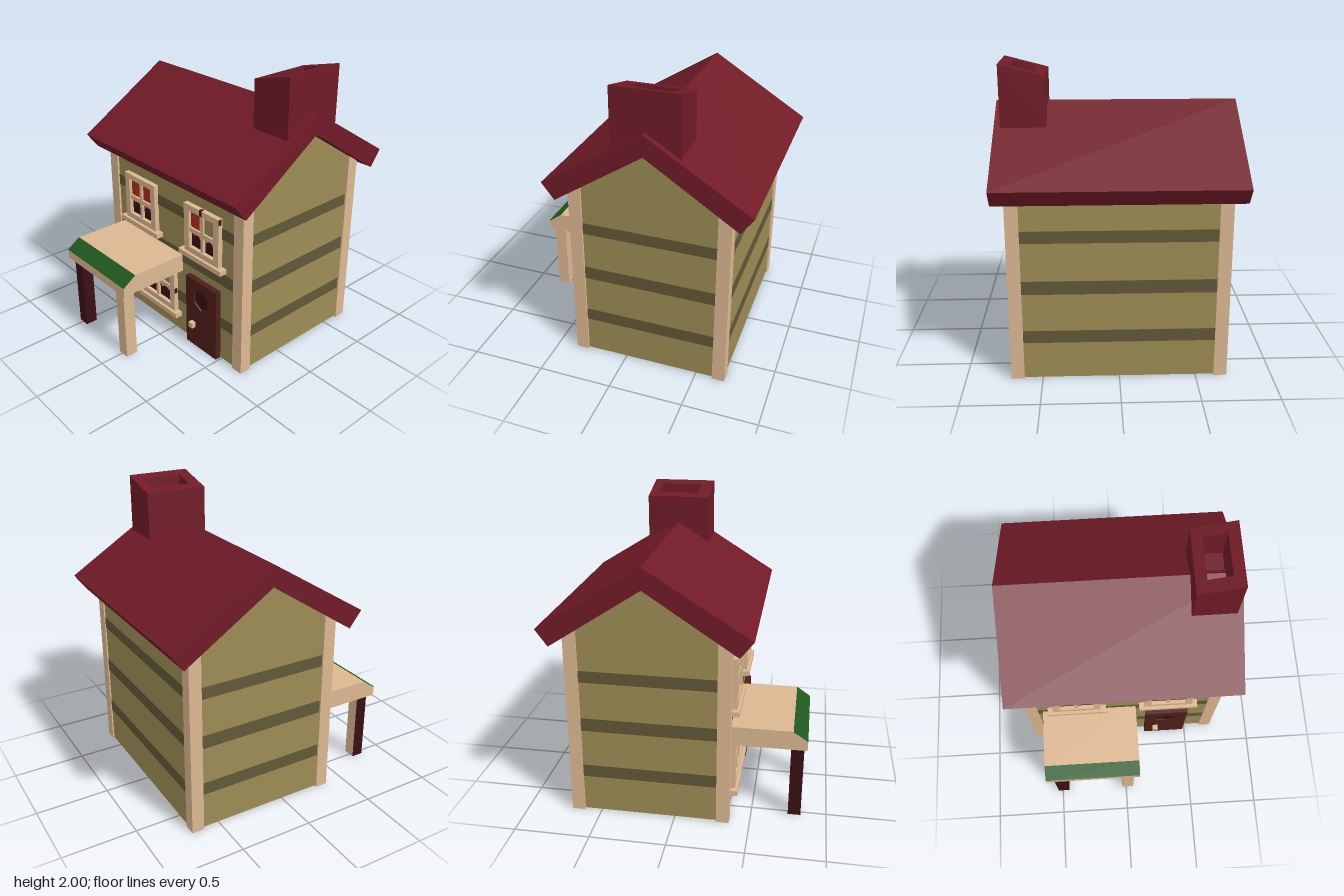
import * as THREE from 'three';

const mat = (color) => new THREE.MeshStandardMaterial({ color, flatShading: true, side: THREE.DoubleSide });
const M = {
  wall: mat(0x9c8c55), stripe: mat(0x625938), trim: mat(0xdcb791), roof: mat(0x701b27),
  door: mat(0x4f1e19), dark: mat(0x3a0f14), red: mat(0xac2e1e), green: mat(0x20591e),
};
const WALL_Z = 0.35; // front wall plane

export function createModel() {
  const house = new THREE.Group();
  house.name = 'house';

  const add = (name, geometry, material, parent = house) => {
    const mesh = new THREE.Mesh(geometry, material);
    mesh.name = name;
    parent.add(mesh);
    return mesh;
  };
  // Box given by its limits on each axis
  const box = (name, material, [x0, x1], [y0, y1], [z0, z1], parent) => {
    const g = new THREE.BoxGeometry(x1 - x0, y1 - y0, z1 - z0);
    g.translate((x0 + x1) / 2, (y0 + y1) / 2, (z0 + z1) / 2);
    return add(name, g, material, parent);
  };
  const polygon = (points) => new THREE.Shape(points.map(([x, y]) => new THREE.Vector2(x, y)));
  const extrude = (shape, depth) => new THREE.ExtrudeGeometry(shape, { depth, bevelEnabled: false });
  // Profile of [z, y] points swept along x
  const prism = (name, material, profile, x0, x1, parent) => {
    const g = extrude(polygon(profile), x1 - x0);
    g.rotateY(-Math.PI / 2).translate(x1, 0, 0);
    return add(name, g, material, parent);
  };

  // Walls with gable ends
  prism('walls', M.wall, [[-0.69, 0.005], [WALL_Z, 0.005], [WALL_Z, 1.27], [-0.17, 1.61], [-0.69, 1.27]], -0.69, 0.69);

  // Dark bands around the walls
  for (const y of [[0.255, 0.34], [0.595, 0.685], [0.94, 1.02]]) {
    box('frontBackBand', M.stripe, [-0.63, 0.63], y, [-0.693, WALL_Z + 0.003]);
    box('sideBand', M.stripe, [-0.693, 0.693], y, [-0.63, 0.29]);
  }

  // Corner posts
  for (const x of [[-0.705, -0.62], [0.62, 0.705]]) {
    for (const z of [[-0.70, -0.615], [0.28, 0.365]]) box('cornerPost', M.trim, x, [0, 1.3], z);
  }

  // Pitched roof
  prism('roof', M.roof, [[0.505, 1.32], [-0.17, 1.74], [-0.845, 1.32], [-0.765, 1.21], [-0.17, 1.6], [0.42, 1.21]], -0.78, 0.78);

  // Hollow chimney with a slanted top
  const flue = polygon([[0.45, -0.05], [0.74, -0.05], [0.74, 0.39], [0.45, 0.39]]);
  flue.holes.push(polygon([[0.52, 0.035], [0.52, 0.32], [0.67, 0.32], [0.67, 0.035]]));
  const chimney = extrude(flue, 0.3).rotateX(-Math.PI / 2).translate(0, 1.6, 0);
  const p = chimney.attributes.position;
  for (let i = 0; i < p.count; i++) {
    if (p.getY(i) > 1.7) p.setY(i, 2 - (0.74 - p.getX(i)) * 0.26);
  }
  chimney.computeVertexNormals();
  add('chimney', chimney, M.roof);
  box('chimneyFloor', M.roof, [0.51, 0.68], [1.61, 1.72], [-0.33, -0.03]);

  // Curtain strip whose lower edge follows a zigzag
  const curtain = (material, x0, x1, top, low, pitch, origin, parent) => {
    const edge = (x) => {
      const t = (((x - origin) / pitch) % 1 + 1) % 1;
      return low + 0.03 * Math.abs(2 * t - 1);
    };
    const xs = [x0];
    for (let k = 0; k < 40; k++) {
      const x = origin + k * pitch / 2;
      if (x > x0 + 1e-4 && x < x1 - 1e-4) xs.push(x);
    }
    xs.push(x1);
    const shape = polygon([...xs.map((x) => [x, edge(x)]), [x1, top], [x0, top]]);
    add('curtain', new THREE.ShapeGeometry(shape).translate(0, 0, WALL_Z + 0.012), material, parent);
  };

  // Window: frame, sill, crossbars, dark pane and curtain strips
  const makeWindow = (name, x0, x1, y0, y1, bars, barY, strips) => {
    const g = new THREE.Group();
    g.name = name;
    house.add(g);
    const f = 0.048, top = y1 + 0.042;
    const frame = polygon([[x0 - f, y0 - 0.04], [x1 + f, y0 - 0.04], [x1 + f, top], [x0 - f, top]]);
    frame.holes.push(polygon([[x0, y0], [x0, y1], [x1, y1], [x1, y0]]));
    add('windowFrame', extrude(frame, 0.037).translate(0, 0, WALL_Z - 0.002), M.trim, g);
    box('sill', M.trim, [x0 - f - 0.04, x1 + f + 0.04], [y0 - 0.075, y0 - 0.04], [WALL_Z - 0.01, 0.405], g);
    box('pane', M.dark, [x0, x1], [y0, y1], [WALL_Z - 0.01, WALL_Z + 0.007], g);
    for (const x of bars) box('verticalBar', M.trim, [x - 0.0125, x + 0.0125], [y0, y1], [WALL_Z, 0.377], g);
    box('crossBar', M.trim, [x0, x1], [barY - 0.017, barY + 0.017], [WALL_Z, 0.377], g);
    const pitch = (x1 - x0) / (2 * (bars.length + 1));
    for (const [a, b, m] of strips) curtain(m, a, b, y1, barY - 0.05, pitch, x0, g);
    return g;
  };
  makeWindow('upperRightWindow', -0.455, -0.21, 0.775, 1.045, [-0.333], 0.902, [[-0.455, -0.21, M.red]]);
  const upper = makeWindow('upperLeftWindow', 0.205, 0.45, 0.775, 1.045, [0.328], 0.902,
    [[0.205, 0.29, M.red], [0.29, 0.34, M.trim], [0.34, 0.45, M.wall]]);
  box('frameTopPatch', M.dark, [0.312, 0.335], [1.046, 1.088], [0.36, 0.386], upper);
  box('frameSidePatch', M.dark, [0.48, 0.499], [1.045, 1.086], [0.36, 0.384], upper);
  const lower = makeWindow('lowerWindow', -0.49, -0.015, 0.205, 0.48, [-0.332, -0.173], 0.335, [
    [-0.49, -0.415, M.red], [-0.415, -0.385, M.dark], [-0.385, -0.365, M.trim], [-0.365, -0.305, M.red],
    [-0.305, -0.24, M.wall], [-0.24, -0.138, M.red], [-0.138, -0.107, M.trim], [-0.107, -0.015, M.wall],
  ]);
  box('frameSidePatch', M.dark, [0.01, 0.034], [0.31, 0.35], [0.36, 0.384], lower);

  // Door with a six-sided recess and a square knob
  const leaf = polygon([[0.175, 0], [0.485, 0], [0.485, 0.54], [0.175, 0.54]]);
  leaf.holes.push(polygon([0, 1, 2, 3, 4, 5].map((i) => {
    const a = Math.PI / 2 - i * Math.PI / 3;
    return [0.33 + 0.081 * Math.cos(a), 0.4 + 0.081 * Math.sin(a)];
  })));
  add('door', extrude(leaf, 0.044).translate(0, 0, WALL_Z - 0.002), M.door);
  box('doorWindow', M.dark, [0.25, 0.41], [0.31, 0.49], [WALL_Z, 0.38]);
  box('doorKnob', M.trim, [0.235, 0.275], [0.16, 0.2], [0.385, 0.425]);

  // Porch canopy with a green sloping front edge
  prism('canopy', M.trim, [[0.34, 0.52], [0.85, 0.52], [0.85, 0.585], [0.755, 0.65], [0.34, 0.65]], -0.585, 0.095);
  prism('canopyEdge', M.green, [[0.85, 0.583], [0.851, 0.587], [0.756, 0.652], [0.755, 0.648]], -0.585, 0.095);

  // Porch legs; one is dark except for its back face
  box('leftPorchLeg', M.trim, [-0.03, 0.055], [0, 0.525], [0.745, 0.83]);
  box('rightPorchLeg', [M.dark, M.dark, M.dark, M.dark, M.dark, M.trim], [-0.535, -0.45], [0, 0.525], [0.745, 0.83]);

  return house;
}
